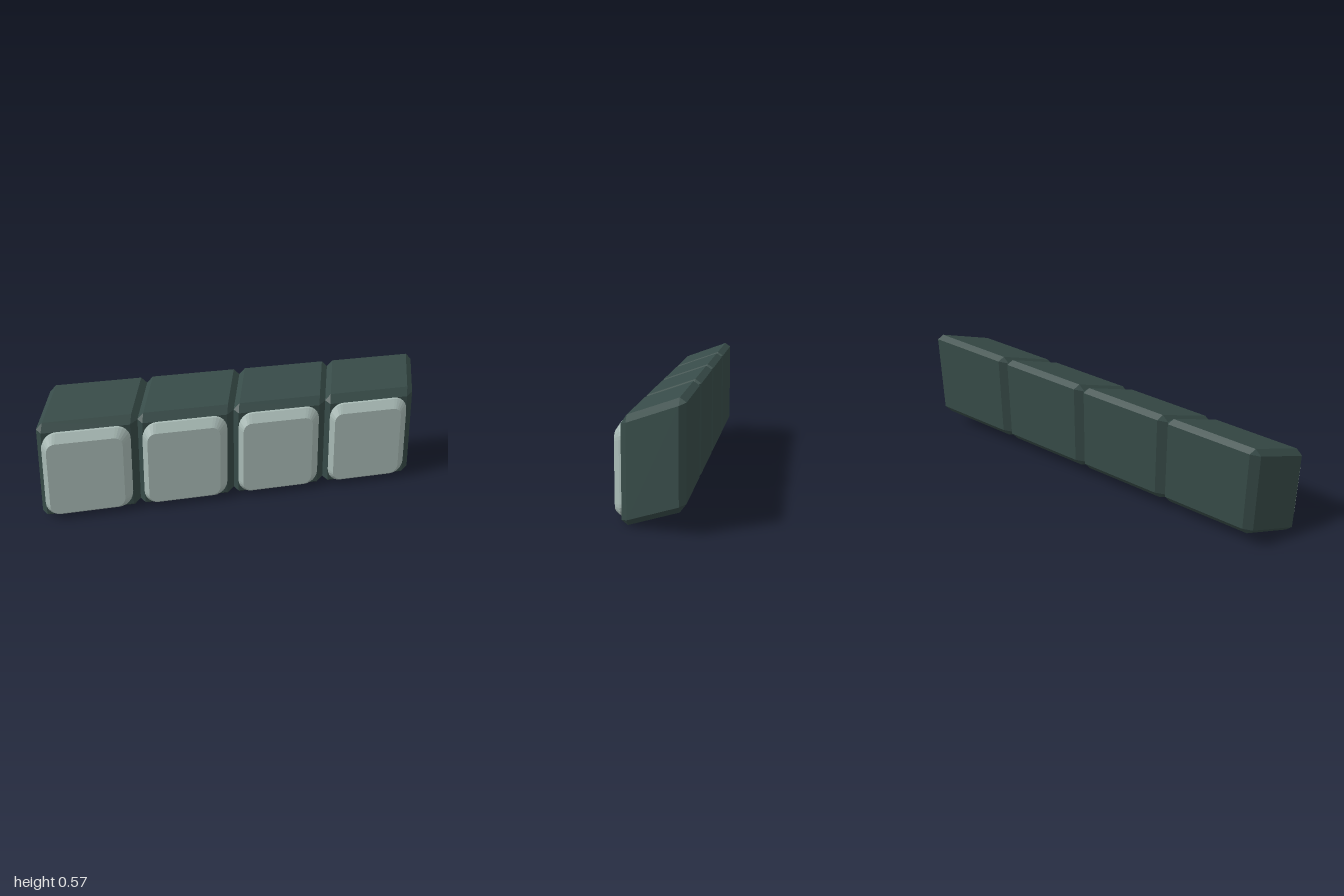
import * as THREE from 'three';
import { ConvexGeometry } from 'three/addons/geometries/ConvexGeometry.js';

const HALF = 0.2385;      // half width and height of a block
const DEPTH = 0.1475;     // half depth of a block
const CUT = 0.0295;       // chamfer size
const PITCH = 0.476;      // spacing of the blocks
const SLANT = -0.4;       // sideways and upward slide per unit of depth

// Slides each depth slice sideways and upward
const shear = new THREE.Matrix4().set(
  1, 0, SLANT, 0,
  0, 1, SLANT, 0,
  0, 0, 1, 0,
  0, 0, 0, 1);

// Box with every edge chamfered
function chamferedBox(hx, hy, hz, c) {
  const points = [];
  for (const sx of [-1, 1]) for (const sy of [-1, 1]) for (const sz of [-1, 1]) {
    points.push(
      new THREE.Vector3(sx * hx, sy * (hy - c), sz * (hz - c)),
      new THREE.Vector3(sx * (hx - c), sy * hy, sz * (hz - c)),
      new THREE.Vector3(sx * (hx - c), sy * (hy - c), sz * hz));
  }
  return new ConvexGeometry(points);
}

// Square outline with rounded corners
function roundedSquare(h, r) {
  const s = new THREE.Shape();
  const k = h - r;
  s.absarc(k, k, r, 0, Math.PI / 2);
  s.absarc(-k, k, r, Math.PI / 2, Math.PI);
  s.absarc(-k, -k, r, Math.PI, Math.PI * 1.5);
  s.absarc(k, -k, r, Math.PI * 1.5, Math.PI * 2);
  s.closePath();
  return s;
}

export function createModel() {
  const group = new THREE.Group();
  group.name = 'slantedBlockRow';
  const dark = new THREE.MeshStandardMaterial({ color: 0x374b48, flatShading: true });
  const pale = new THREE.MeshStandardMaterial({ color: 0xa9bbb6, flatShading: true });

  const blockGeo = chamferedBox(HALF, HALF, DEPTH, CUT).applyMatrix4(shear);

  // Rounded core running through the block and standing proud at the front
  const back = -DEPTH + 0.002;
  const front = 0.1865;
  const coreGeo = new THREE.ExtrudeGeometry(roundedSquare(0.179, 0.041), {
    depth: front - back - 2 * CUT,
    bevelEnabled: true, bevelThickness: CUT, bevelSize: 0.03,
    bevelSegments: 1, curveSegments: 3,
  });
  coreGeo.translate(0, 0, back + CUT).applyMatrix4(shear);

  for (let i = 0; i < 4; i++) {
    const unit = new THREE.Group();
    unit.name = `unit${i + 1}`;
    const block = new THREE.Mesh(blockGeo, dark);
    block.name = 'block';
    const core = new THREE.Mesh(coreGeo, pale);
    core.name = 'frontPad';
    unit.add(block, core);
    unit.position.set((i - 1.5) * PITCH, 0.286, -0.0185);
    group.add(unit);
  }
  return group;
}
